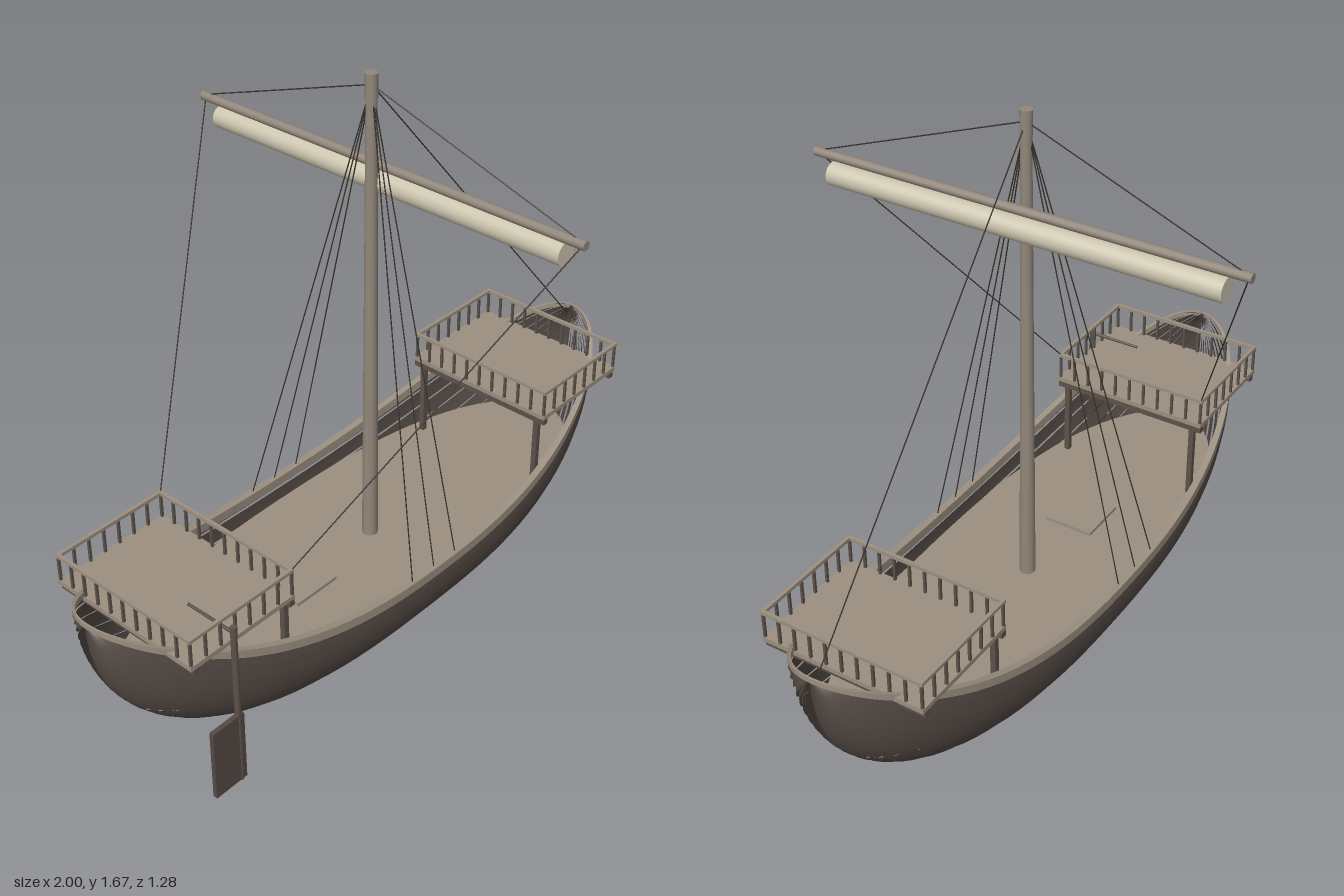
import * as THREE from 'three';

const mat = (name, color, double) => {
  const m = new THREE.MeshStandardMaterial({ color });
  m.name = name;
  if (double) m.side = THREE.DoubleSide;
  return m;
};

// Hull lines: sheer height, keel height and half breadth along the length
const sheer = u => 0.33 + 0.25 * Math.abs(u) ** 2.4;
const keel = u => 0.58 * (1 - Math.sqrt(Math.max(0, 1 - Math.abs(u) ** 3.5)));
const beam = u => 0.31 * Math.sqrt(Math.max(0, 1 - Math.abs(u) ** 2.5));

// Skin a grid of points (array of rows of [x, y, z])
function skin(rows) {
  const n = rows[0].length, index = [];
  for (let i = 0; i < rows.length - 1; i++) {
    for (let j = 0; j < n - 1; j++) {
      const a = i * n + j, b = a + n;
      index.push(a, b, a + 1, b, b + 1, a + 1);
    }
  }
  const g = new THREE.BufferGeometry();
  g.setAttribute('position', new THREE.Float32BufferAttribute(rows.flat(2), 3));
  g.setIndex(index);
  g.computeVertexNormals();
  return g;
}

export function createModel() {
  const ship = new THREE.Group();
  ship.name = 'sailingShip';
  const hullWood = mat('darkHullWood', 0x544a44, true);
  const deckWood = mat('deckWood', 0x9b8f80, true);
  const sparWood = mat('sparWood', 0x91867a);
  const frameWood = mat('frameWood', 0x5c5249);
  const canvas = mat('canvas', 0xcbc4ae);
  const ropeMat = mat('rope', 0x38332d);

  const add = (name, geo, m, parent = ship) => {
    const mesh = new THREE.Mesh(geo, m);
    mesh.name = name;
    parent.add(mesh);
    return mesh;
  };
  const box = (name, w, h, d, x, y, z, m, parent) =>
    add(name, new THREE.BoxGeometry(w, h, d).translate(x, y, z), m, parent);
  const rod = (name, a, b, r0, r1, m, sides = 12) => {
    const p = new THREE.Vector3(...a), q = new THREE.Vector3(...b), dir = q.clone().sub(p);
    const mesh = add(name, new THREE.CylinderGeometry(r1, r0, dir.length(), sides), m);
    mesh.position.copy(p).add(q).multiplyScalar(0.5);
    mesh.quaternion.setFromUnitVectors(new THREE.Vector3(0, 1, 0), dir.normalize());
  };

  // Overlapping strakes: each lower edge stands proud of the strake beneath
  const STATIONS = 56, STRAKES = 11;
  const stations = Array.from({ length: STATIONS + 1 },
    (_, i) => Math.sin((i / STATIONS - 0.5) * Math.PI));
  const hullPoint = (u, t, off, side) => [
    u * (0.992 + off),
    keel(u) + (sheer(u) - keel(u)) * (1 - Math.cos(t)),
    side * beam(u) * Math.sin(t) * (1 + 3 * off)
  ];
  const hull = new THREE.Group();
  hull.name = 'hull';
  ship.add(hull);
  for (const side of [1, -1]) {
    for (let s = 0; s < STRAKES; s++) {
      const rows = [];
      for (let j = 0; j <= 3; j++) {
        const t = (s + j / 3) / STRAKES * Math.PI / 2;
        const row = stations.map(u => hullPoint(u, t, 0.008 * (1 - j / 3), side));
        rows.push(side > 0 ? row : row.reverse());
      }
      add('strake', skin(rows), hullWood, hull);
    }
    // Gunwale: rectangular section following the sheer, slimmer towards the ends
    const section = [[1, 1.015, -0.024], [1, 1.015, 0.004], [0.994, 0.945, 0.004],
      [0.994, 0.945, -0.024], [1, 1.015, -0.024]];
    const rows = section.map(([sx, sz, dy]) => {
      const row = stations.map(u =>
        [u * sx, sheer(u) + dy * (1 - 0.5 * u ** 4), side * beam(u) * sz]);
      return side > 0 ? row : row.reverse();
    });
    const rail = skin(rows).toNonIndexed();
    rail.computeVertexNormals();
    add('gunwale', rail, deckWood);
  }

  // Deck, cut to the hull section at its height
  const DECK = 0.25, edge = [];
  for (let i = 0; i <= 40; i++) {
    const u = 0.88 * Math.sin((i / 40 - 0.5) * Math.PI);
    const c = 1 - (DECK - keel(u)) / (sheer(u) - keel(u));
    edge.push([u, beam(u) * Math.sqrt(Math.max(0, 1 - c * c)) * 0.99]);
  }
  add('deck', skin([1, -1].map(s => edge.map(([x, z]) => [x, DECK, s * z]))), deckWood);
  box('hatch', 0.155, 0.01, 0.147, -0.262, DECK + 0.005, 0, deckWood);

  // Raised castles at both ends
  for (const end of [-1, 1]) {
    const castle = new THREE.Group();
    castle.name = end < 0 ? 'sternCastle' : 'bowCastle';
    ship.add(castle);
    const x0 = 0.525, x1 = 0.885, xm = (x0 + x1) / 2, w = x1 - x0, hz = 0.245;
    box('castleFloor', w, 0.014, 2 * hz, end * xm, 0.504, 0, deckWood, castle);
    for (const x of [0.535, 0.867])
      box('crossBeam', 0.018, 0.018, 2 * hz, end * x, 0.488, 0, frameWood, castle);
    for (const side of [1, -1]) {
      box('castleLeg', 0.016, 0.25, 0.016, end * 0.535, 0.372, side * 0.215, frameWood, castle);
      box('sideRail', w, 0.01, 0.01, end * xm, 0.589, side * (hz - 0.005), deckWood, castle);
      for (let i = 0; i <= 7; i++)
        box('baluster', 0.007, 0.075, 0.007, end * (x0 + 0.005 + (w - 0.01) * i / 7), 0.547,
          side * (hz - 0.005), frameWood, castle);
    }
    for (const x of [x0 + 0.005, x1 - 0.005]) {
      box('endRail', 0.01, 0.01, 2 * hz - 0.02, end * x, 0.589, 0, deckWood, castle);
      for (let i = 1; i < 10; i++)
        box('baluster', 0.007, 0.075, 0.007, end * x, 0.547, (hz - 0.005) * (i / 5 - 1),
          frameWood, castle);
    }
  }

  // Mast, yard and furled sail
  rod('mast', [0.04, DECK, 0], [0.04, 1.64, 0], 0.023, 0.015, sparWood, 16);
  rod('mastHead', [0.04, 1.605, 0], [0.04, 1.672, 0], 0.017, 0.017, sparWood, 16);
  rod('yard', [0.07, 1.412, -0.64], [0.07, 1.412, 0.64], 0.013, 0.013, sparWood);
  rod('furledSail', [0.078, 1.366, -0.58], [0.078, 1.366, 0.58], 0.033, 0.033, canvas, 24);

  // Rigging
  const top = [0.04, 1.64, 0];
  const rope = (name, a, b) => rod(name, a, b, 0.0018, 0.0018, ropeMat, 5);
  rope('forestay', top, [0.97, 0.565, 0]);
  for (const side of [1, -1]) {
    rope('yardLift', top, [0.07, 1.42, side * 0.62]);
    rope('brace', [0.07, 1.41, side * 0.63], [-0.53, 0.59, side * 0.24]);
    for (const x of [-0.13, -0.04, 0.05]) rope('shroud', top, [x, 0.335, side * 0.303]);
  }

  // Side rudder with tiller
  rod('rudderStock', [-0.755, 0.05, 0.26], [-0.755, 0.565, 0.26], 0.009, 0.009, frameWood);
  box('rudderBlade', 0.108, 0.222, 0.014, -0.794, 0.163, 0.26, hullWood);
  rod('tiller', [-0.755, 0.545, 0.27], [-0.755, 0.545, 0.1], 0.005, 0.004, frameWood, 8);

  return ship;
}
